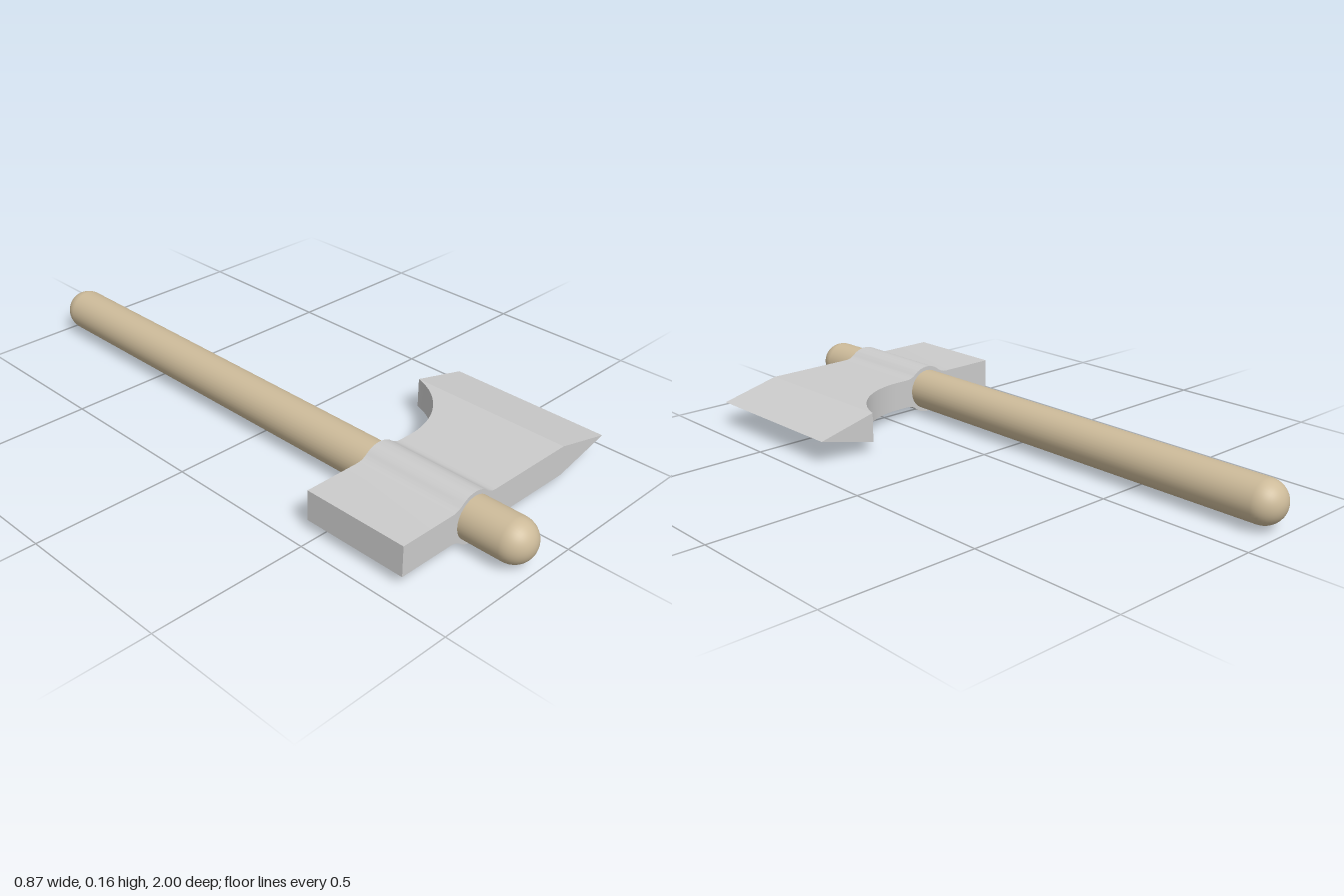
import * as THREE from 'three';
import { toCreasedNormals } from 'three/addons/utils/BufferGeometryUtils.js';

const MID_Y = 0.08, HANDLE_X = -0.157, HANDLE_R = 0.067;
const HALF = 0.048, COLLAR_R = 0.08, FILLET_R = 0.057, COLLAR_W = 0.088;
const LEFT = -0.435, BEVEL = 0.235, TIP = 0.433;
const FRONT_Z = 0.8, BACK_Z = 0.457, BEARD_Z = 0.259, ARC_X = -0.03;

// Half thickness of the head: flat plate, filleted collar round the handle, tapered edge
function halfThickness(x) {
  if (x > BEVEL) return HALF * (TIP - x) / (TIP - BEVEL);
  const d = Math.abs(x - HANDLE_X);
  if (d >= COLLAR_W) return HALF;
  const tangent = COLLAR_W * COLLAR_R / (COLLAR_R + FILLET_R);
  if (d <= tangent) return Math.sqrt(COLLAR_R ** 2 - d * d);
  return HALF + FILLET_R - Math.sqrt(FILLET_R ** 2 - (COLLAR_W - d) ** 2);
}

// Rear outline of the head: straight, then a concave arc sweeping to the beard
const drop = BACK_Z - BEARD_Z, run = BEVEL - ARC_X;
const ARC_R = (run * run + drop * drop) / (2 * drop);
function backZ(x) {
  if (x <= ARC_X) return BACK_Z;
  if (x >= BEVEL) return BEARD_Z;
  return BACK_Z - ARC_R + Math.sqrt(ARC_R ** 2 - (x - ARC_X) ** 2);
}

function headGeometry() {
  // Stations along x, evenly spaced by angle on each arc
  const xs = [LEFT];
  const sweep = Math.asin(COLLAR_W / (COLLAR_R + FILLET_R));
  const side = [];
  for (let i = 0; i <= 8; i++) side.push(COLLAR_R * Math.sin(sweep * i / 8));
  for (let i = 7; i >= 0; i--) side.push(COLLAR_W - FILLET_R * Math.sin(sweep * i / 8));
  for (const d of [...side].reverse()) xs.push(HANDLE_X - d);
  for (const d of side.slice(1)) xs.push(HANDLE_X + d);
  const arc = Math.asin(run / ARC_R);
  for (let i = 0; i <= 20; i++) xs.push(ARC_X + ARC_R * Math.sin(arc * i / 20));
  xs[xs.length - 1] = BEVEL;
  xs.push(TIP);

  const pos = [];
  const quad = (a, b, c, d) => pos.push(...a, ...b, ...c, ...a, ...c, ...d);
  // Corners of one section: rear top, rear bottom, front bottom, front top
  const section = (x) => {
    const h = halfThickness(x), z = backZ(x);
    return [[x, h, z], [x, -h, z], [x, -h, FRONT_Z], [x, h, FRONT_Z]];
  };
  const sections = xs.map(section);
  quad(...sections[0]);
  for (let i = 0; i < sections.length - 1; i++) {
    const s = sections[i], t = sections[i + 1];
    for (let k = 0; k < 4; k++) {
      const n = (k + 1) % 4;
      quad(s[k], t[k], t[n], s[n]);
    }
  }
  const g = new THREE.BufferGeometry();
  g.setAttribute('position', new THREE.Float32BufferAttribute(pos, 3));
  return toCreasedNormals(g, 0.2);
}

export function createModel() {
  const group = new THREE.Group();
  group.name = 'axe';

  // Round-ended wooden handle lying along z
  const handle = new THREE.Mesh(
    new THREE.CapsuleGeometry(HANDLE_R, 2 - 2 * HANDLE_R, 12, 40).rotateX(Math.PI / 2),
    new THREE.MeshStandardMaterial({ color: 0xcdbb9a })
  );
  handle.name = 'handle';
  handle.position.set(HANDLE_X, MID_Y, 0);

  // Metal head with collar, poll and bearded blade
  const head = new THREE.Mesh(headGeometry(), new THREE.MeshStandardMaterial({ color: 0xcccccc }));
  head.name = 'axeHead';
  head.position.y = MID_Y;

  group.add(handle, head);
  return group;
}
